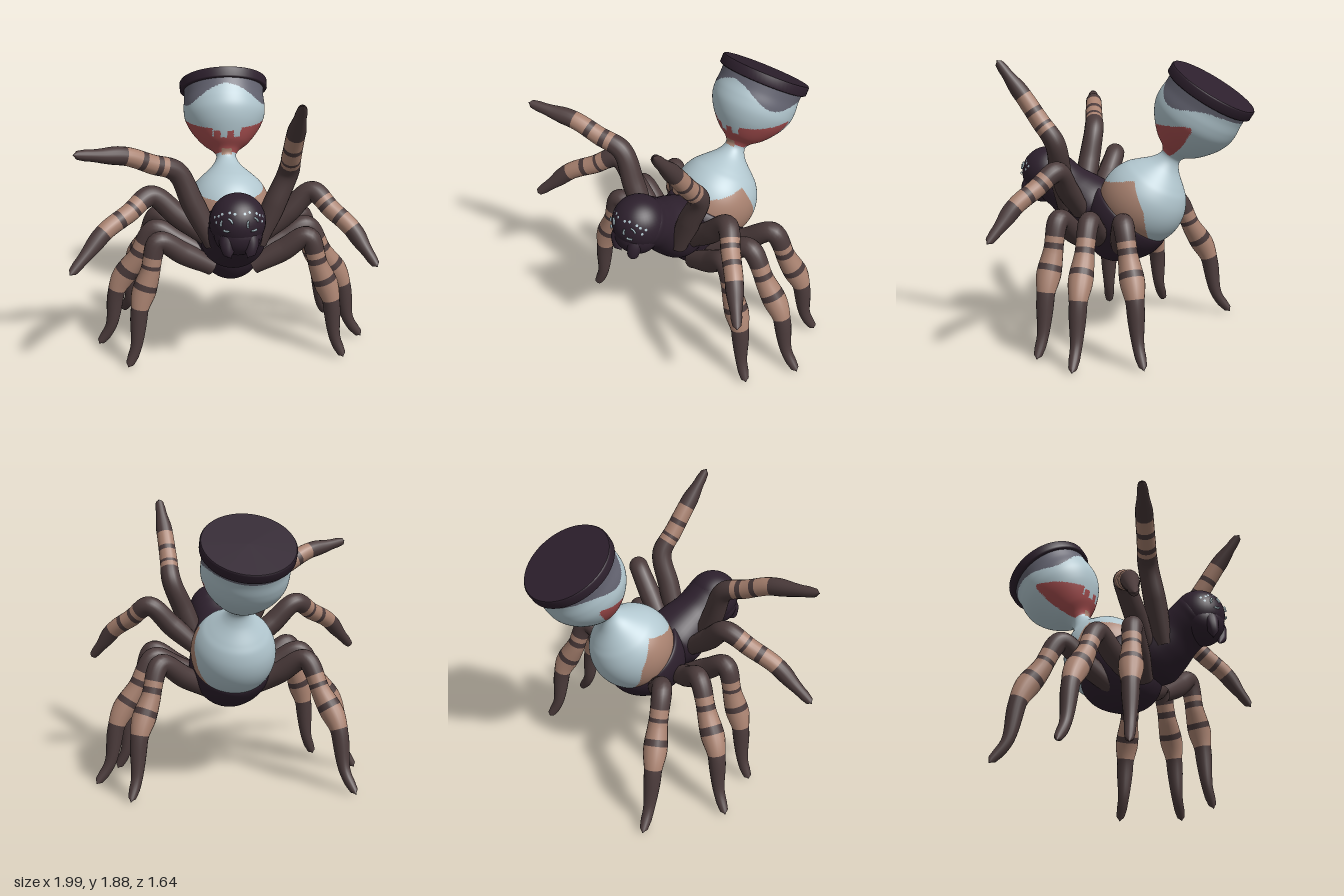
import * as THREE from 'three';

const mat = (name, color) => {
  const m = new THREE.MeshStandardMaterial({ color });
  m.name = name;
  return m;
};
const V3 = (p) => new THREE.Vector3(...p);
const CX = 0.06; // body centre line

// Lathe from a smooth [radius, height] profile, tilted about x and moved to (CX, y, z)
function turned(profile, steps, sides, tilt, y, z, sx = 1, smooth = true) {
  let pts = profile.map(([r, h]) => new THREE.Vector2(r, h));
  if (smooth) pts = new THREE.SplineCurve(pts).getPoints(steps);
  pts.forEach((p) => { p.x = Math.max(p.x, 0.0001); });
  return new THREE.LatheGeometry(pts, sides).scale(sx, 1, 1).rotateX(tilt).translate(CX, y, z);
}

// Sorts triangles into material groups by a rule on their centre
function paint(geo, count, rule) {
  const lists = Array.from({ length: count }, () => []);
  const p = geo.attributes.position, ix = geo.index.array, c = new THREE.Vector3(), v = new THREE.Vector3();
  for (let i = 0; i < ix.length; i += 3) {
    c.set(0, 0, 0);
    for (let k = 0; k < 3; k++) c.add(v.fromBufferAttribute(p, ix[i + k]));
    c.divideScalar(3);
    lists[rule(c)].push(ix[i], ix[i + 1], ix[i + 2]);
  }
  geo.setIndex(lists.flat());
  let start = 0;
  lists.forEach((l, m) => { geo.addGroup(start, l.length, m); start += l.length; });
  return geo;
}

// Smooth lookup in [u, value] keys
function lookup(keys, u) {
  for (let i = 1; i < keys.length; i++) {
    const [a, ra] = keys[i - 1], [b, rb] = keys[i];
    if (u <= b) return ra + (rb - ra) * THREE.MathUtils.smoothstep(u, a, b);
  }
  return keys[keys.length - 1][1];
}

// Tube whose radius follows a function of the distance along it
function taperedTube(curve, steps, sides, radius) {
  const geo = new THREE.TubeGeometry(curve, steps, 1, sides);
  const p = geo.attributes.position, v = new THREE.Vector3();
  for (let j = 0; j <= steps; j++) {
    const c = curve.getPointAt(j / steps), r = radius(j / steps);
    for (let i = 0; i <= sides; i++) {
      const k = j * (sides + 1) + i;
      v.fromBufferAttribute(p, k).sub(c).multiplyScalar(r).add(c);
      p.setXYZ(k, v.x, v.y, v.z);
    }
  }
  return geo;
}

// Leg through base, knee, ankle, foot and tip, banded between knee and ankle
function legGeometry([base, knee, ankle, foot, tip], ankleR) {
  const thigh = base.clone().lerp(knee, 0.55), shin = knee.clone().lerp(ankle, 0.5);
  const curve = new THREE.CatmullRomCurve3([base, thigh, knee, shin, ankle, foot, tip]);
  const len = curve.getLengths(300);
  const k = len[100] / len[300], a = len[200] / len[300];
  const keys = [[0, 0.06], [k * 0.5, 0.075], [k, 0.068], [k + (a - k) * 0.35, 0.063],
    [a - (a - k) * 0.22, ankleR], [a + 0.04, 0.058], [0.93, 0.036], [0.975, 0.029], [1, 0.001]];
  const steps = 100, sides = 18;
  const geo = taperedTube(curve, steps, sides, (u) => lookup(keys, u));
  const bands = [[0.24, 0.35], [0.43, 0.66], [0.75, 1.03]];
  for (let j = 0; j < steps; j++) {
    const f = ((j + 0.5) / steps - k) / (a - k);
    geo.addGroup(j * sides * 6, sides * 6, bands.some(([s, e]) => f > s && f < e) ? 1 : 0);
  }
  return geo;
}

export function createModel() {
  const dark = mat('dark plum', 0x2d202d);
  const legDark = mat('dark brown', 0x4b3b3b);
  const tan = mat('tan', 0xa98270);
  const glass = mat('pale glass blue', 0xb2c7cf);
  const red = mat('muted red', 0xa84f50);
  const grey = mat('slate grey', 0x62626f);

  const model = new THREE.Group();
  const add = (name, geo, material) => {
    const m = new THREE.Mesh(geo, material);
    m.name = name;
    model.add(m);
    return m;
  };

  // Hourglass abdomen: both bulbs in one lathe about a tilted axis through the waist
  const tilt = -0.555, ny = 1.25, nz = -0.265;
  const bulbs = [];
  for (let i = 0; i <= 8; i++) {
    const a = -Math.PI / 2 + i * 0.275;
    bulbs.push([0.293 * Math.cos(a), -0.37 + 0.295 * Math.sin(a)]);
  }
  bulbs.push([0.19, -0.146], [0.105, -0.065], [0.07, 0], [0.09, 0.045], [0.155, 0.095], [0.21, 0.155],
    [0.255, 0.22], [0.284, 0.29], [0.29, 0.36], [0.284, 0.43], [0.285, 0.5]);
  const hourglass = turned(bulbs, 170, 150, tilt, ny, nz, 0.98);
  paint(hourglass, 4, (c) => {
    const dx = c.x - CX, dy = c.y - ny, dz = c.z - nz;
    const t = dy * Math.cos(tilt) + dz * Math.sin(tilt);
    const s = dz * Math.cos(tilt) - dy * Math.sin(tilt);
    // tan flanks on the lower bulb
    if (t < 0) {
      const back = Math.max(-0.17, -0.09 - 0.4 * (1.11 - c.y));
      return c.y < 1.075 + 0.13 * (0.2 - c.z) && c.z > back ? 1 : 0;
    }
    // grey shade under the lid, hanging lower on the sides
    const az = Math.atan2(Math.abs(dx), s);
    if (t > 0.455 - 0.115 * Math.exp(-(((az - 1.05) / 0.65) ** 2))) return 3;
    // red pool with a ragged top edge and a tan trickle
    if (s > 0 && Math.abs(dx) < 0.035 && c.y < 1.33) return 1;
    const edge = Math.abs(dx) < 0.1 && s > 0 ? 1.44 + 0.025 * Math.sign(Math.sin(dx * 70)) : 1.48;
    const back = -0.2 - 0.285 * Math.sqrt(THREE.MathUtils.clamp((c.y - 1.25) / 0.2, 0, 1));
    return t > 0.02 && c.y < edge && c.z > back ? 2 : 0;
  });
  add('hourglassAbdomen', hourglass, [glass, tan, red, grey]);

  // Flat lid
  add('hourglassLid', turned([[0, 0.485], [0.3, 0.485], [0.311, 0.493], [0.311, 0.546], [0.304, 0.555],
    [0.304, 0.555], [0, 0.555]], 0, 64, tilt, ny, nz, 0.985, false), dark);

  // Shell cupping the lower bulb
  add('bodyShell', turned([[0.255, 0], [0.287, 0], [0.295, 0.06], [0.282, 0.13], [0.25, 0.2], [0.205, 0.27],
    [0.13, 0.345], [0.06, 0.38], [0, 0.39]], 48, 56, 2.45, 0.863, 0.004, 0.95), dark);

  // Thorax rising into the head
  add('thorax', turned([[0, -0.12], [0.14, -0.09], [0.2, 0], [0.208, 0.06], [0.192, 0.16], [0.168, 0.27],
    [0.168, 0.38], [0.165, 0.45], [0.1, 0.54], [0, 0.56]], 48, 48, 0.95, 0.85, 0.26, 1.05), dark);
  const headC = [CX, 1.105, 0.62];
  add('head', new THREE.SphereGeometry(0.176, 40, 28).translate(...headC), dark);
  add('jaw', new THREE.SphereGeometry(1, 32, 20).scale(0.155, 0.14, 0.14).translate(CX, 1.035, 0.65), dark);

  // Fangs
  for (const s of [-1, 1]) {
    const curve = new THREE.CatmullRomCurve3([[CX + s * 0.055, 1.09, 0.7], [CX + s * 0.075, 1.0, 0.735],
      [CX + s * 0.07, 0.95, 0.745], [CX + s * 0.05, 0.9, 0.74]].map(V3));
    add('fang', taperedTube(curve, 24, 14, (u) =>
      lookup([[0, 0.045], [0.4, 0.052], [0.75, 0.038], [1, 0.002]], u)), dark);
  }

  // Eyes: two large glinting rims with small glints around them
  const eye = (geo, dx, dy) => {
    const d = new THREE.Vector3(dx, dy, Math.sqrt(0.176 ** 2 - dx * dx - dy * dy)).normalize();
    const m = add('eyeGlint', geo, glass);
    m.position.set(...headC).addScaledVector(d, 0.178);
    m.lookAt(m.position.clone().add(d));
  };
  for (const s of [-1, 1]) {
    for (const start of [0.3, 2.4, 4.2]) {
      eye(new THREE.TorusGeometry(0.04, 0.007, 5, 12, 1.1).rotateZ(start), s * 0.08, 0.03);
    }
    for (const [dx, dy] of [[0.03, 0.095], [0.06, 0.1], [0.105, 0.085], [0.125, 0.07], [0.14, 0.03], [0.148, 0.055]]) {
      eye(new THREE.CircleGeometry(0.009, 10), s * dx, dy);
    }
  }

  // Lifted legs: base, knee, ankle, tip
  const lifted = {
    leftRaisedLeg: [[0.21, 0.88, 0.42], [0.4, 1.35, 0.42], [0.41, 1.64, 0.625], [0.425, 1.885, 0.815]],
    rightRaisedLeg: [[-0.08, 0.88, 0.42], [-0.31, 1.37, 0.42], [-0.62, 1.515, 0.54], [-0.94, 1.57, 0.67]],
    leftReachingLeg: [[0.22, 0.87, 0.31], [0.57, 1.19, 0.34], [0.8, 1.0, 0.52], [0.955, 0.775, 0.65]],
    rightReachingLeg: [[-0.1, 0.87, 0.31], [-0.47, 1.18, 0.32], [-0.77, 1.01, 0.5], [-0.995, 0.775, 0.64]],
  };
  for (const [name, points] of Object.entries(lifted)) {
    const [base, knee, ankle, tip] = points.map(V3);
    add(name, legGeometry([base, knee, ankle, ankle.clone().lerp(tip, 0.5), tip], 0.06), [legDark, tan]);
  }

  // Standing legs: [x, z] of knee, ankle and tip, sharing heights; hips are spaced along the body
  const standing = {
    FrontLeg: [[0.55, 0.335], [0.71, 0.36], [0.81, 0.39], [-0.43, 0.36], [-0.56, 0.405], [-0.65, 0.435]],
    MiddleLeg: [[0.57, 0.12], [0.83, 0.09], [0.99, 0.075], [-0.45, 0.12], [-0.71, 0.08], [-0.855, 0.065]],
    BackLeg: [[0.56, -0.11], [0.72, -0.24], [0.8, -0.33], [-0.42, -0.16], [-0.6, -0.35], [-0.69, -0.5]],
  };
  const hips = [[0.14, 0.66, 0.28], [0.16, 0.7, 0.18], [0.13, 0.64, 0.05]];
  Object.entries(standing).forEach(([name, xz], row) => {
    for (const s of [1, -1]) {
      const at = ([x, z], y) => new THREE.Vector3(x, y, z);
      const [k, a, t] = s > 0 ? xz.slice(0, 3) : xz.slice(3);
      const [hx, hy, hz] = hips[row];
      const ankle = at(a, 0.45), tip = at(t, 0.01);
      const foot = ankle.clone().lerp(tip, 0.4).setY(0.15);
      const points = [new THREE.Vector3(CX + s * hx, hy, hz), at(k, 0.875), ankle, foot, tip];
      add((s > 0 ? 'left' : 'right') + name, legGeometry(points, 0.08), [legDark, tan]);
    }
  });

  return model;
}
